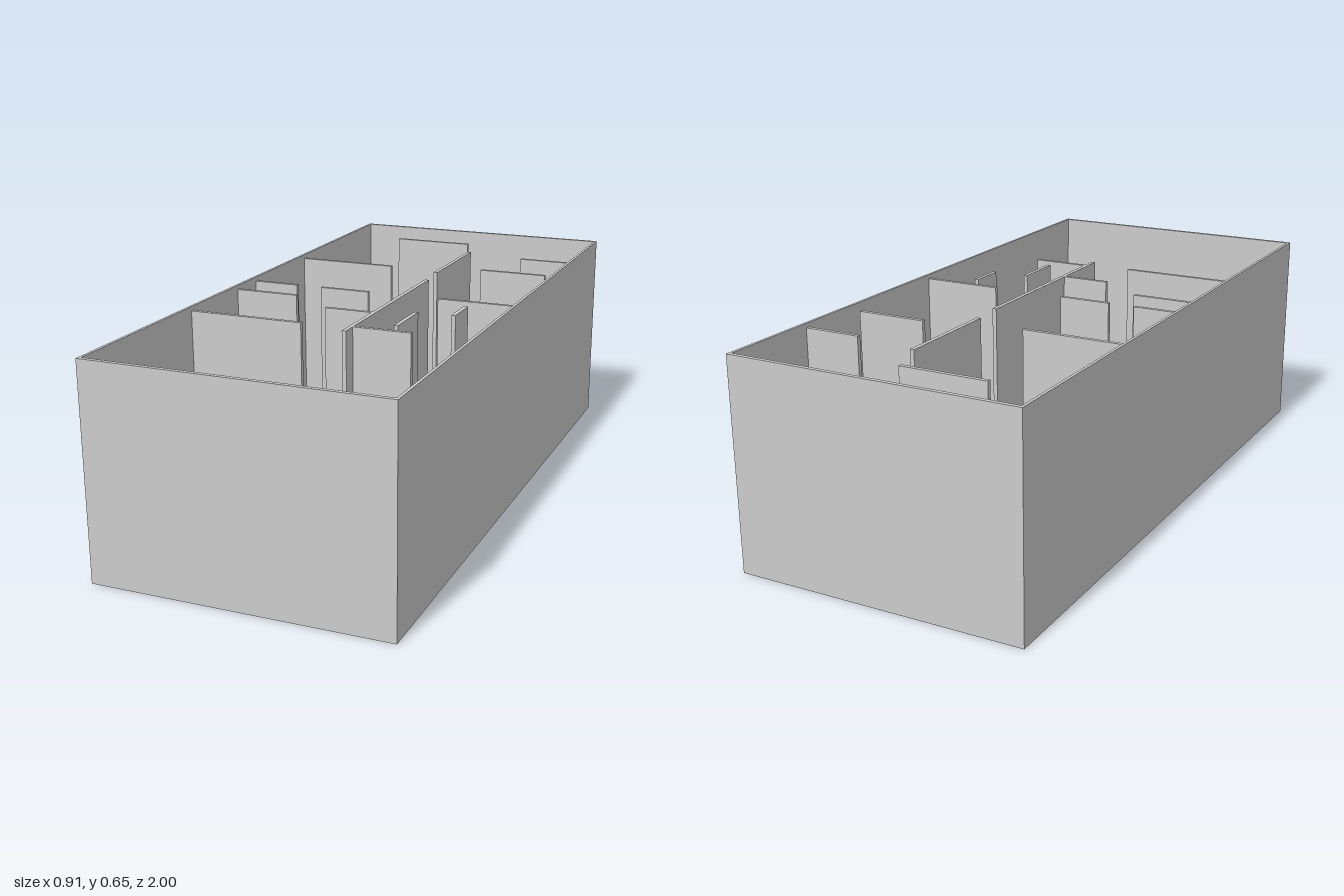
import * as THREE from 'three';

const W = 0.907, L = 2, H = 0.65;          // outer size
const FLOOR = 0.003, SIDE = 0.009, END = 0.013;
const T = 0.013, TOP = 0.637;              // partition thickness and top height

export function createModel() {
  const model = new THREE.Group();
  model.name = 'floorPlan';
  const material = new THREE.MeshStandardMaterial({ color: 0xcccccc, flatShading: true });

  // Box given by its extents along each axis
  const block = (name, x0, x1, y0, y1, z0, z1) => {
    const mesh = new THREE.Mesh(new THREE.BoxGeometry(x1 - x0, y1 - y0, z1 - z0), material);
    mesh.position.set((x0 + x1) / 2, (y0 + y1) / 2, (z0 + z1) / 2);
    mesh.name = name;
    model.add(mesh);
  };

  // Floor slab and outer walls
  const hx = W / 2, hz = L / 2, inner = hx - SIDE;
  block('floor', -hx, hx, 0, FLOOR, -hz, hz);
  block('leftWall', inner, hx, FLOOR, H, -hz, hz);
  block('rightWall', -hx, -inner, FLOOR, H, -hz, hz);
  block('frontWall', -inner, inner, FLOOR, H, hz - END, hz);
  block('backWall', -inner, inner, FLOOR, H, -hz, -hz + END);

  // Partitions running across the width: [x start, x end, z]
  const across = [
    [-0.262, 0.011, -0.83],
    [0.265, inner, -0.66],
    [0.188, 0.412, -0.443],
    [-inner, -0.115, -0.383],
    [-inner, -0.295, -0.012],
    [-0.21, -0.045, -0.012],
    [0.19, inner, -0.012],
    [-inner, -0.237, 0.113],
    [-0.09, 0.063, 0.22],
    [0.075, 0.255, 0.39],
    [-inner, -0.082, 0.407],
  ];
  across.forEach(([x0, x1, z], i) =>
    block(`crossPartition${i + 1}`, x0, x1, FLOOR, TOP, z - T / 2, z + T / 2));

  // Partitions running along the length: [x, z start, z end]
  const along = [
    [0.059, -0.7, -0.343],
    [0.069, -0.235, 0.445],
    [0.301, 0.048, 0.165],
    [0.185, 0.17, 0.335],
  ];
  along.forEach(([x, z0, z1], i) =>
    block(`longPartition${i + 1}`, x - T / 2, x + T / 2, FLOOR, TOP, z0, z1));

  return model;
}
